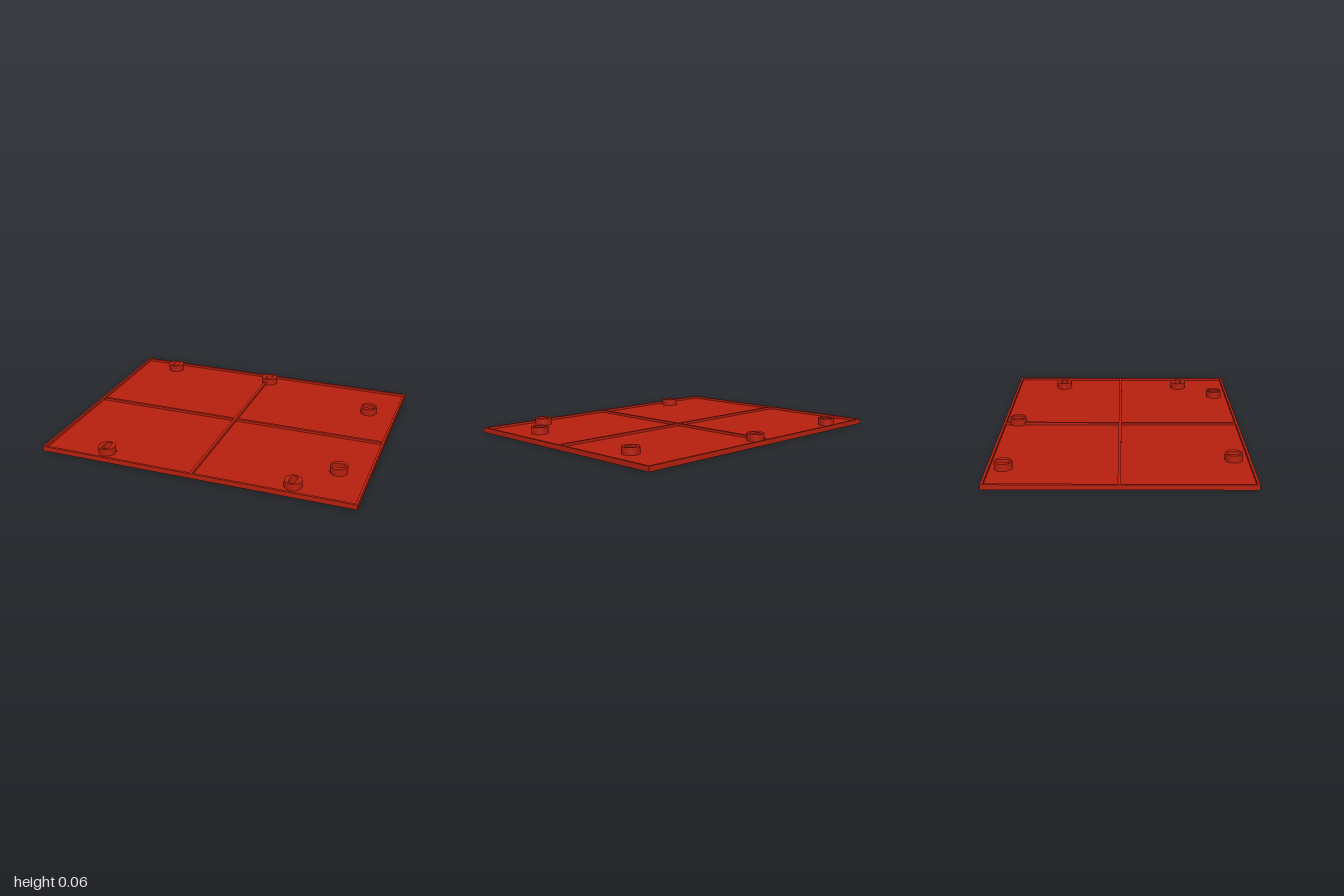
import * as THREE from 'three';
import { toCreasedNormals } from 'three/addons/utils/BufferGeometryUtils.js';

const HX = 1, HZ = 0.78;            // half sizes of the plate
const FLOOR = 0.015, RIM = 0.031, BOSS = 0.06;
const WALL = 0.015, RIB = 0.018;

// Fixing points: x, z, and whether the slot runs along x
const fixings = [
  [-0.73, -0.685, false], [0.018, -0.685, false],
  [0.81, -0.43, true], [0.81, 0.43, true],
  [-0.6, 0.68, false], [0.6, 0.68, false],
];

function rect(path, hx, hz) {
  path.moveTo(-hx, -hz);
  path.lineTo(hx, -hz);
  path.lineTo(hx, hz);
  path.lineTo(-hx, hz);
  path.closePath();
  return path;
}

// Round-ended slot; shape y is -z
function slot(x, z, alongX) {
  const r = 0.021, d = 0.0215, a = alongX ? -Math.PI / 2 : 0;
  const dx = alongX ? d : 0, dy = alongX ? 0 : d;
  const path = new THREE.Path();
  path.absarc(x + dx, -z + dy, r, a, a + Math.PI, false);
  path.absarc(x - dx, -z - dy, r, a + Math.PI, a + 2 * Math.PI, false);
  path.closePath();
  return path;
}

// Extrude a plan shape upwards between two heights
function slab(shape, y0, y1) {
  const geo = new THREE.ExtrudeGeometry(shape, { depth: y1 - y0, bevelEnabled: false, curveSegments: 24 });
  geo.rotateX(-Math.PI / 2).translate(0, y0, 0);
  return toCreasedNormals(geo, 0.6);
}

export function createModel() {
  const group = new THREE.Group();
  const red = new THREE.MeshStandardMaterial({ color: 0xb8200e });
  red.name = 'red';
  const add = (name, geo) => {
    const mesh = new THREE.Mesh(geo, red);
    mesh.name = name;
    group.add(mesh);
  };

  // Base plate with slots cut through
  const base = rect(new THREE.Shape(), HX, HZ);
  fixings.forEach(f => base.holes.push(slot(...f)));
  add('basePlate', slab(base, 0, FLOOR));

  // Raised border
  const rim = rect(new THREE.Shape(), HX, HZ);
  rim.holes.push(rect(new THREE.Path(), HX - WALL, HZ - WALL));
  add('rim', slab(rim, FLOOR, RIM));

  // Crossing stiffening ribs; the long one is interrupted at the rear boss
  const rib = (name, x0, x1, z0, z1) => {
    const geo = new THREE.BoxGeometry(x1 - x0, RIM - FLOOR, z1 - z0);
    geo.translate((x0 + x1) / 2, (RIM + FLOOR) / 2, (z0 + z1) / 2);
    add(name, geo);
  };
  const rx = -0.003, rz = -0.004, h = RIB / 2;
  rib('crossRib', -HX + WALL, HX - WALL, rz - h, rz + h);
  rib('lengthRib', rx - h, rx + h, -0.638, HZ - WALL);
  rib('lengthRibEnd', rx - h, rx + h, -HZ + WALL, -0.732);

  // Slotted round bosses
  for (const [x, z, alongX] of fixings) {
    const disc = new THREE.Shape();
    disc.absarc(x, -z, 0.054, 0, Math.PI * 2, false);
    disc.holes.push(slot(x, z, alongX));
    add('slottedBoss', slab(disc, FLOOR, BOSS));
  }
  return group;
}
